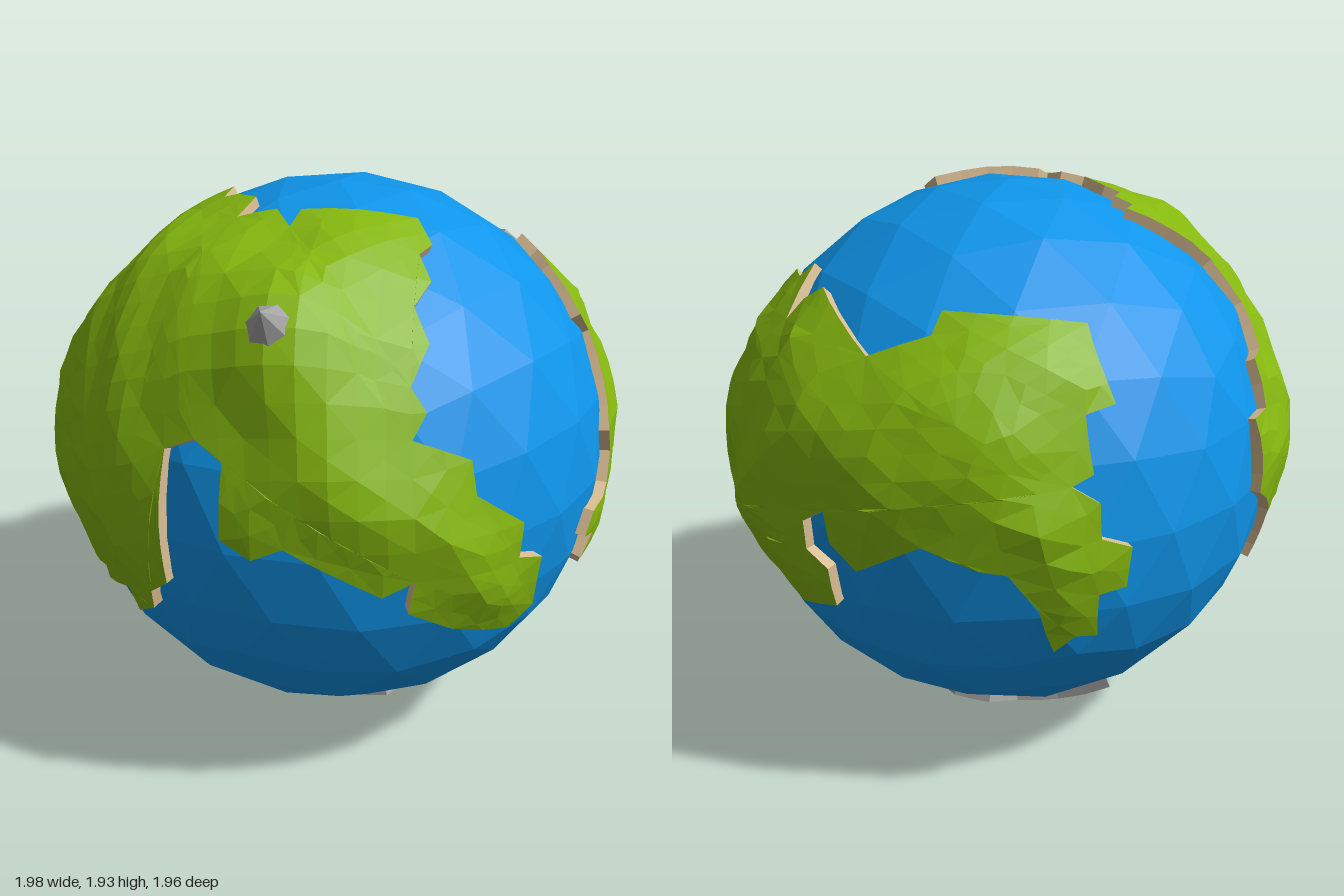
import * as THREE from 'three';

const CY = 0.98, SEA = 0.935, SHORE = 0.965, MAX_EDGE = 0.14;
const V = (x, y, z) => new THREE.Vector3(x, y, z);
const mat = (color) => new THREE.MeshStandardMaterial({ color, flatShading: true, side: THREE.DoubleSide });

// Lift points drawn on a disc facing (azimuth, elevation) onto the unit globe
function lift(az, el, pts, cy = 0) {
  const a = THREE.MathUtils.degToRad(az), e = THREE.MathUtils.degToRad(el);
  const right = V(Math.cos(a), 0, -Math.sin(a));
  const dir = V(Math.sin(a) * Math.cos(e), Math.sin(e), Math.cos(a) * Math.cos(e));
  const up = dir.clone().cross(right);
  return pts.map(([x, y]) => {
    const d = Math.sqrt(Math.max(0, SHORE * SHORE - x * x - (y - cy) ** 2));
    return V(0, 0, 0).addScaledVector(right, x).addScaledVector(up, y - cy).addScaledVector(dir, d).normalize();
  });
}

// Flat map of the globe around a centre direction (keeps distance and bearing)
function makeMap(c) {
  const u = V(0, 1, 0).cross(c);
  if (u.length() < 0.2) u.set(1, 0, 0).cross(c);
  u.normalize();
  const w = c.clone().cross(u);
  return {
    flat(p) {
      const ang = c.angleTo(p), x = p.dot(u), y = p.dot(w), l = Math.hypot(x, y) || 1;
      return new THREE.Vector2(x / l * ang, y / l * ang);
    },
    round(q) {
      const ang = q.length(), s = ang > 1e-9 ? Math.sin(ang) / ang : 1;
      return c.clone().multiplyScalar(Math.cos(ang)).addScaledVector(u, q.x * s).addScaledVector(w, q.y * s);
    },
  };
}

const mid = (a, b) => new THREE.Vector2((a.x + b.x) / 2, (a.y + b.y) / 2);

// Halve the longest edge until every triangle is small
function splitTri(a, b, c, out) {
  const ab = a.distanceTo(b), bc = b.distanceTo(c), ca = c.distanceTo(a), m = Math.max(ab, bc, ca);
  if (m <= MAX_EDGE) out.push([a, b, c]);
  else if (m === ab) { const p = mid(a, b); splitTri(a, p, c, out); splitTri(p, b, c, out); }
  else if (m === bc) { const p = mid(b, c); splitTri(a, b, p, out); splitTri(a, p, c, out); }
  else { const p = mid(c, a); splitTri(a, b, p, out); splitTri(p, b, c, out); }
}

function splitEdge(a, b, out) {
  if (a.distanceTo(b) <= MAX_EDGE) { out.push([a, b]); return; }
  const p = mid(a, b);
  splitEdge(a, p, out);
  splitEdge(p, b, out);
}

function borderDistance(q, outline) {
  let best = 9;
  outline.forEach((a, i) => {
    const d = outline[(i + 1) % outline.length].clone().sub(a), r = q.clone().sub(a);
    const t = THREE.MathUtils.clamp(r.dot(d) / d.lengthSq(), 0, 1);
    best = Math.min(best, r.addScaledVector(d, -t).length());
  });
  return best;
}

function meshOf(name, points, material) {
  const g = new THREE.BufferGeometry().setFromPoints(points);
  g.computeVertexNormals();
  const m = new THREE.Mesh(g, material);
  m.name = name;
  return m;
}

// Raised plate: bumpy top inside the outline, cliff wall around it
function plate(name, dirs, rise, bumps, topMat, wallMat) {
  const centre = dirs.reduce((s, p) => s.add(p), V(0, 0, 0)).normalize();
  const map = makeMap(centre), outline = dirs.map(map.flat);
  const place = (q) => {
    const p = map.round(q), inland = THREE.MathUtils.smoothstep(borderDistance(q, outline), 0, 0.3);
    let r = SHORE - 0.005 + rise * inland;
    r += (0.004 + 0.008 * inland) * Math.sin(13 * p.x + 4 * p.y) * Math.sin(11 * p.y + 17 * p.z + 1);
    for (const [d, h, w] of bumps) r += h * inland * Math.exp(-((p.angleTo(d) / w) ** 2));
    return p.multiplyScalar(r);
  };
  const tris = [], top = [], wall = [], edges = [];
  for (const [i, j, k] of THREE.ShapeUtils.triangulateShape(outline, [])) {
    splitTri(outline[i], outline[j], outline[k], tris);
  }
  for (const t of tris) {
    const [a, b, c] = t.map(place);
    const n = b.clone().sub(a).cross(c.clone().sub(a));
    if (n.dot(a) > 0) top.push(a, b, c); else top.push(a, c, b);
  }
  outline.forEach((a, i) => splitEdge(a, outline[(i + 1) % outline.length], edges));
  const clockwise = THREE.ShapeUtils.isClockWise(outline);
  for (const e of edges) {
    const [a, b] = (clockwise ? [e[1], e[0]] : e).map(place);
    const c = a.clone().setLength(0.9), d = b.clone().setLength(0.9);
    wall.push(c, d, b, c, b, a);
  }
  const group = new THREE.Group();
  group.name = name;
  group.add(meshOf(name + 'Top', top, topMat), meshOf(name + 'Cliff', wall, wallMat));
  return group;
}

export function createModel() {
  const model = new THREE.Group();
  model.name = 'planet';
  const globe = new THREE.Group();
  globe.name = 'globe';
  globe.position.y = CY;
  model.add(globe);

  const grass = mat(0x86b80f), sand = mat(0xd9bd94), rock = mat(0xa3a3a3);

  // Ocean: faceted ball with a corner at the pole
  const seaGeo = new THREE.IcosahedronGeometry(SEA, 3).rotateZ(-Math.atan(2 / (1 + Math.sqrt(5))));
  const ocean = new THREE.Mesh(seaGeo, mat(0x0f95ea));
  ocean.name = 'ocean';
  globe.add(ocean);

  // Large continent: north coast, east coast and bay, west coast
  const peakDir = V(-0.15, 0.71, 0.78).normalize();
  const large = [
    ...lift(0, 90, [[-0.7, -0.02], [-0.55, 0.07], [-0.4, 0.11], [-0.42, 0.05], [-0.36, 0.05], [-0.38, -0.05],
      [-0.33, -0.07], [-0.26, -0.15], [-0.31, -0.25], [-0.18, -0.26], [-0.13, -0.36], [-0.1, -0.28],
      [0.27, -0.26], [0.32, -0.36], [0.28, -0.42], [0.32, -0.5]]),
    ...lift(0, 0, [[0.27, 1.69], [0.32, 1.6], [0.27, 1.5], [0.32, 1.43], [0.28, 1.36], [0.46, 1.28], [0.48, 1.17],
      [0.63, 1.04], [0.62, 0.92], [0.7, 0.88], [0.68, 0.68], [0.6, 0.61], [0.42, 0.7], [0.28, 0.8], [0.3, 0.92],
      [0.2, 0.87], [-0.1, 1.04], [-0.2, 0.99], [-0.3, 1.04], [-0.29, 1.28], [-0.38, 1.33], [-0.48, 1.28],
      [-0.5, 1.1], [-0.49, 0.82], [-0.55, 0.76], [-0.55, 0.68], [-0.62, 0.61], [-0.65, 0.71], [-0.74, 0.67],
      [-0.74, 0.74], [-0.81, 0.7], [-0.84, 0.77]], CY),
    ...lift(216, 25, [[0.75, -0.45], [0.69, -0.59], [0.6, -0.62], [0.62, -0.46], [0.56, -0.43], [0.44, -0.37],
      [0.415, -0.12], [0.53, -0.1], [0.515, 0.07], [0.605, 0.1], [0.64, 0.27]]),
  ];
  globe.add(plate('largeContinent', large, 0.04, [[peakDir, 0.07, 0.22]], grass, sand));

  // Small continent: north coast, east coast, south coast with inlet, west coast
  const small = [
    ...lift(0, 90, [[-0.27, 0.66], [0.17, 0.66], [0.2, 0.71], [0.4, 0.69], [0.5, 0.55], [0.58, 0.38], [0.65, 0.35]]),
    ...lift(90, 0, [[0.35, 1.53], [0.22, 1.68], [0.2, 1.63], [0.07, 1.62], [-0.04, 1.48], [0.03, 1.4], [-0.15, 1.1],
      [-0.1, 1.0], [-0.15, 0.9], [-0.37, 0.9], [-0.41, 0.82], [-0.33, 0.8], [-0.37, 0.72], [-0.27, 0.7],
      [-0.21, 0.61], [-0.1, 0.6], [0.02, 0.8], [0.13, 0.8], [0.2, 0.7]], CY),
    ...lift(144, -32, [[-0.27, 0.25], [-0.17, 0.17], [0.03, 0.25], [0.03, 0.39], [-0.06, 0.43], [-0.06, 0.52],
      [0.03, 0.57], [0.05, 0.48], [0.15, 0.41], [0.37, 0.49], [0.53, 0.39], [0.6, 0.35], [0.66, 0.2],
      [0.66, 0], [0.72, 0.04], [0.76, 0]]),
    ...lift(216, 25, [[-0.27, -0.52], [-0.18, -0.52], [-0.17, -0.4], [-0.27, -0.35], [-0.27, -0.24], [-0.35, -0.17],
      [-0.28, -0.15], [-0.27, 0.03], [-0.17, 0.04]]),
  ];
  const craters = [[V(0.93, 0.02, -0.35).normalize(), -0.045, 0.08], [V(0.85, 0.36, -0.3).normalize(), -0.03, 0.08]];
  globe.add(plate('smallContinent', small, 0.045, craters, grass, sand));

  // Rocky cap at the south pole
  const cap = lift(0, -90, [[-0.38, -0.45], [-0.2, -0.38], [-0.05, -0.34], [0.05, -0.38], [0.18, -0.32], [0.25, -0.2],
    [0.42, -0.02], [0.3, 0.16], [0.2, 0.35], [0.03, 0.29], [-0.13, 0.31], [-0.28, 0.16], [-0.37, 0.02],
    [-0.26, -0.12], [-0.25, -0.28]]);
  globe.add(plate('southPoleCap', cap, 0.025, [], rock, rock));

  // Mountain peak
  const peakGeo = new THREE.ConeGeometry(0.09, 0.13, 7).translate(0, 1.095, 0);
  const peak = new THREE.Mesh(peakGeo, rock);
  peak.name = 'mountainPeak';
  peak.quaternion.setFromUnitVectors(V(0, 1, 0), peakDir);
  globe.add(peak);

  return model;
}
